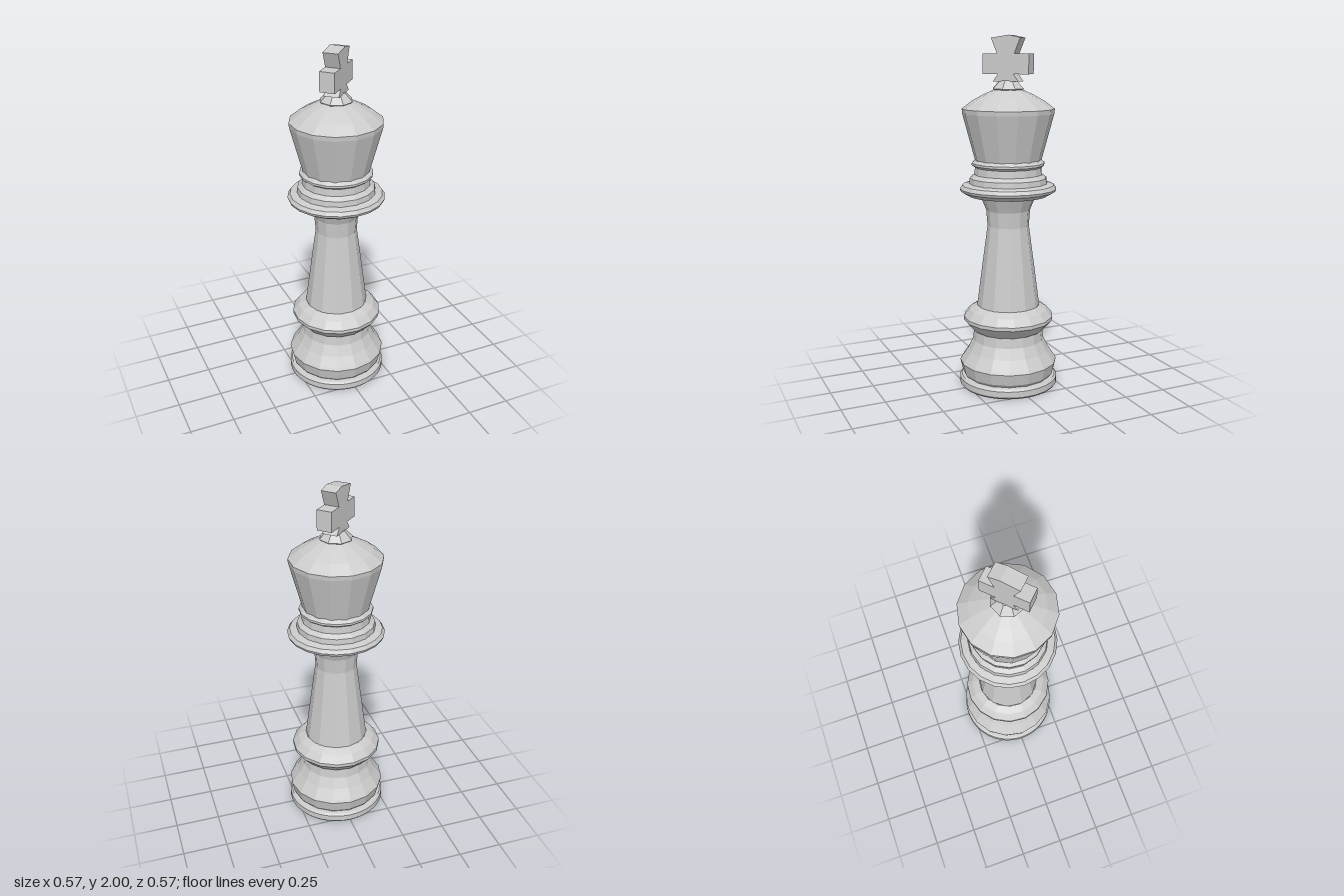
import * as THREE from 'three';

const material = new THREE.MeshStandardMaterial({ color: 0xcccccc, flatShading: true });

// Faceted turned part from [radius, height] pairs, bottom to top
function turned(name, sides, profile, phase = 0) {
  const points = profile.map(([r, y]) => new THREE.Vector2(r, y));
  const mesh = new THREE.Mesh(new THREE.LatheGeometry(points, sides, phase), material);
  mesh.name = name;
  return mesh;
}

// Cross with flared upper and lower arms, mirrored about its centre line
function finialCross() {
  const half = [
    [0.075, 1.75], [0.045, 1.79], [0.134, 1.79], [0.134, 1.9], [0.05, 1.9], [0.085, 1.985],
  ];
  const outline = [
    ...half, [0.02, 2], ...half.map(([x, y]) => [-x, y]).reverse(),
  ].map(([x, y]) => new THREE.Vector2(x, y));
  const depth = 0.085;
  const geometry = new THREE.ExtrudeGeometry(new THREE.Shape(outline), { depth, bevelEnabled: false });
  geometry.translate(0, 0, -depth / 2);
  const mesh = new THREE.Mesh(geometry, material);
  mesh.name = 'cross';
  mesh.rotation.y = Math.PI / 4;
  return mesh;
}

export function createModel() {
  const king = new THREE.Group();
  king.name = 'chessKing';
  king.add(
    // Round foot disc
    turned('foot', 48, [[0, 0], [0.275, 0], [0.283, 0.01], [0.283, 0.045], [0.272, 0.056], [0.24, 0.06]]),
    // Bell-shaped base
    turned('base', 16, [[0.25, 0.055], [0.266, 0.075], [0.281, 0.14], [0.272, 0.155], [0.235, 0.21],
      [0.205, 0.27], [0.198, 0.33]]),
    // Ring under the column
    turned('lowerRing', 16, [[0.195, 0.325], [0.21, 0.335], [0.259, 0.39], [0.259, 0.41], [0.225, 0.45],
      [0.18, 0.475]], 0.1),
    // Tapering column
    turned('column', 12, [[0.18, 0.47], [0.15, 0.7], [0.118, 0.94], [0.125, 1.03], [0.16, 1.115]], 0.15),
    // Wide collar and the stepped rings above it
    turned('collar', 20, [[0.155, 1.112], [0.225, 1.115], [0.268, 1.14], [0.274, 1.155], [0.26, 1.175],
      [0.22, 1.185]]),
    turned('neckRings', 16, [[0.222, 1.18], [0.218, 1.215], [0.192, 1.235], [0.188, 1.275],
      [0.206, 1.288], [0.206, 1.3], [0.185, 1.318]], 0.1),
    // Crown body with sloping shoulder
    turned('crown', 14, [[0.186, 1.31], [0.257, 1.575], [0.259, 1.6], [0.2, 1.645], [0.135, 1.68],
      [0.08, 1.705], [0, 1.71]]),
    // Knob carrying the cross
    turned('knob', 8, [[0.075, 1.695], [0.092, 1.71], [0.05, 1.755], [0, 1.765]]),
    finialCross(),
  );
  return king;
}
